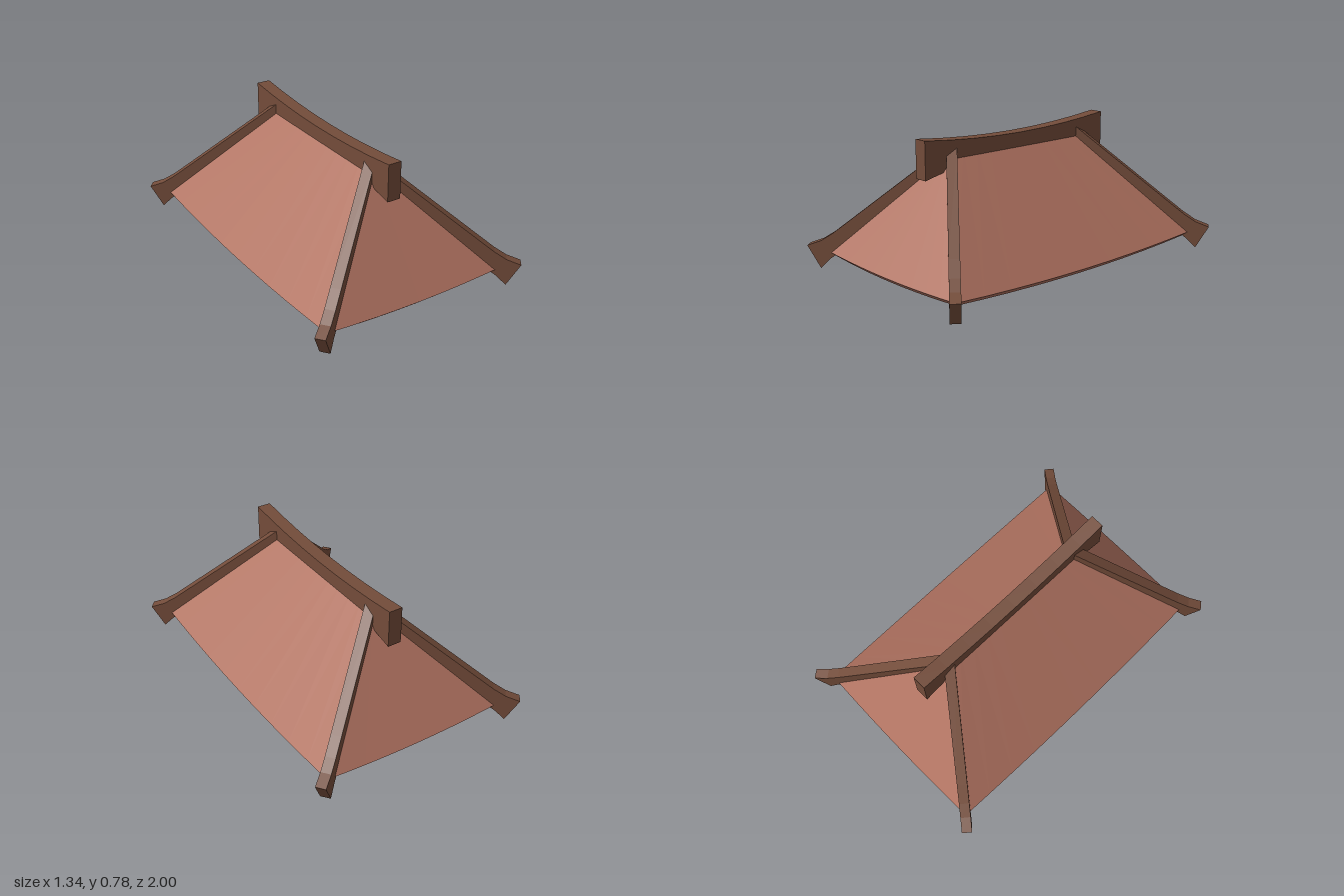
import * as THREE from 'three';

const tile = new THREE.MeshStandardMaterial({ name: 'clay red', color: 0xb07260 });
const wood = new THREE.MeshStandardMaterial({ name: 'brown timber', color: 0x734c3a });
const board = new THREE.MeshStandardMaterial({ name: 'pale ceiling', color: 0xcfcaba });

function named(name, geometry, material) {
  const mesh = new THREE.Mesh(geometry, material);
  mesh.name = name;
  return mesh;
}

// Rectangular loop, counterclockwise from above; long and short sides may bow out and sag.
const STEPS = 10;
function ring(x, z, y, bow = 0) {
  const corners = [[x, z], [x, -z], [-x, -z], [-x, z]];
  const points = [];
  corners.forEach(([ax, az], side) => {
    const [bx, bz] = corners[(side + 1) % 4];
    const long = side % 2 === 0;
    for (let i = 0; i <= STEPS; i++) {
      const t = i / STEPS;
      const b = bow * 4 * t * (1 - t);
      const px = ax + (bx - ax) * t + (long ? Math.sign(ax) * 0.012 * b : 0);
      const pz = az + (bz - az) * t + (long ? 0 : Math.sign(az) * 0.01 * b);
      points.push([px, y - (long ? 0.025 : 0.015) * b, pz]);
    }
  });
  return points;
}

// Flat-faced skin between successive loops
function skin(rings) {
  const pos = [];
  for (let r = 0; r < rings.length - 1; r++) {
    const a = rings[r], b = rings[r + 1];
    for (let i = 0; i < a.length - 1; i++) {
      if (i % (STEPS + 1) === STEPS) continue;
      pos.push(...b[i], ...b[i + 1], ...a[i + 1]);
      if (a[i].some((v, k) => v !== a[i + 1][k])) pos.push(...b[i], ...a[i + 1], ...a[i]);
    }
  }
  const g = new THREE.BufferGeometry();
  g.setAttribute('position', new THREE.Float32BufferAttribute(pos, 3));
  g.computeVertexNormals();
  return g;
}

// Beam cut from a side profile, centred on its thickness
function beam(shape, width) {
  const g = new THREE.ExtrudeGeometry(shape, { depth: width, bevelEnabled: false, curveSegments: 8 });
  return g.translate(0, 0, -width / 2);
}

export function createModel() {
  const model = new THREE.Group();
  model.name = 'hipRoof';

  // Roof slopes, undercut eave edge and underside
  model.add(named('roofSlopes', skin([
    ring(0, 0.47, 0.7),
    ring(0.57, 0.91, 0.095, 1),
    ring(0.525, 0.87, 0.06, 1),
    ring(0.45, 0.81, 0.135),
  ]), tile));

  // Ceiling, facing down
  const ceiling = named('ceiling', new THREE.PlaneGeometry(0.9, 1.62).rotateX(Math.PI / 2), board);
  ceiling.position.y = 0.135;
  model.add(ceiling);

  // Ridge beam with upswept, deeper ends
  const ridge = new THREE.Shape();
  ridge.moveTo(-0.67, 0.565);
  ridge.quadraticCurveTo(0, 0.74, 0.67, 0.565);
  ridge.lineTo(0.67, 0.78);
  ridge.quadraticCurveTo(0, 0.7, -0.67, 0.78);
  ridge.closePath();
  model.add(named('ridgeBeam', beam(ridge, 0.08).rotateY(Math.PI / 2), wood));

  // Four hip rafters with flared feet
  const profile = [
    [-0.015, 0.6], [0.6, 0.13], [0.7, 0.055], [0.755, 0], [0.83, 0.13],
    [0.75, 0.16], [0.68, 0.205], [0.59, 0.275], [0.02, 0.72], [-0.015, 0.705],
  ].map(([s, y]) => new THREE.Vector2(s, y));
  const rafter = beam(new THREE.Shape(profile), 0.058);
  const angle = Math.atan2(0.515, 0.65);
  for (const sz of [1, -1]) {
    for (const sx of [1, -1]) {
      const name = (sz > 0 ? 'front' : 'back') + (sx > 0 ? 'Left' : 'Right') + 'Rafter';
      const mesh = named(name, rafter, wood);
      mesh.position.z = sz * 0.46;
      mesh.rotation.y = Math.atan2(-sz * Math.sin(angle), sx * Math.cos(angle));
      model.add(mesh);
    }
  }
  return model;
}
